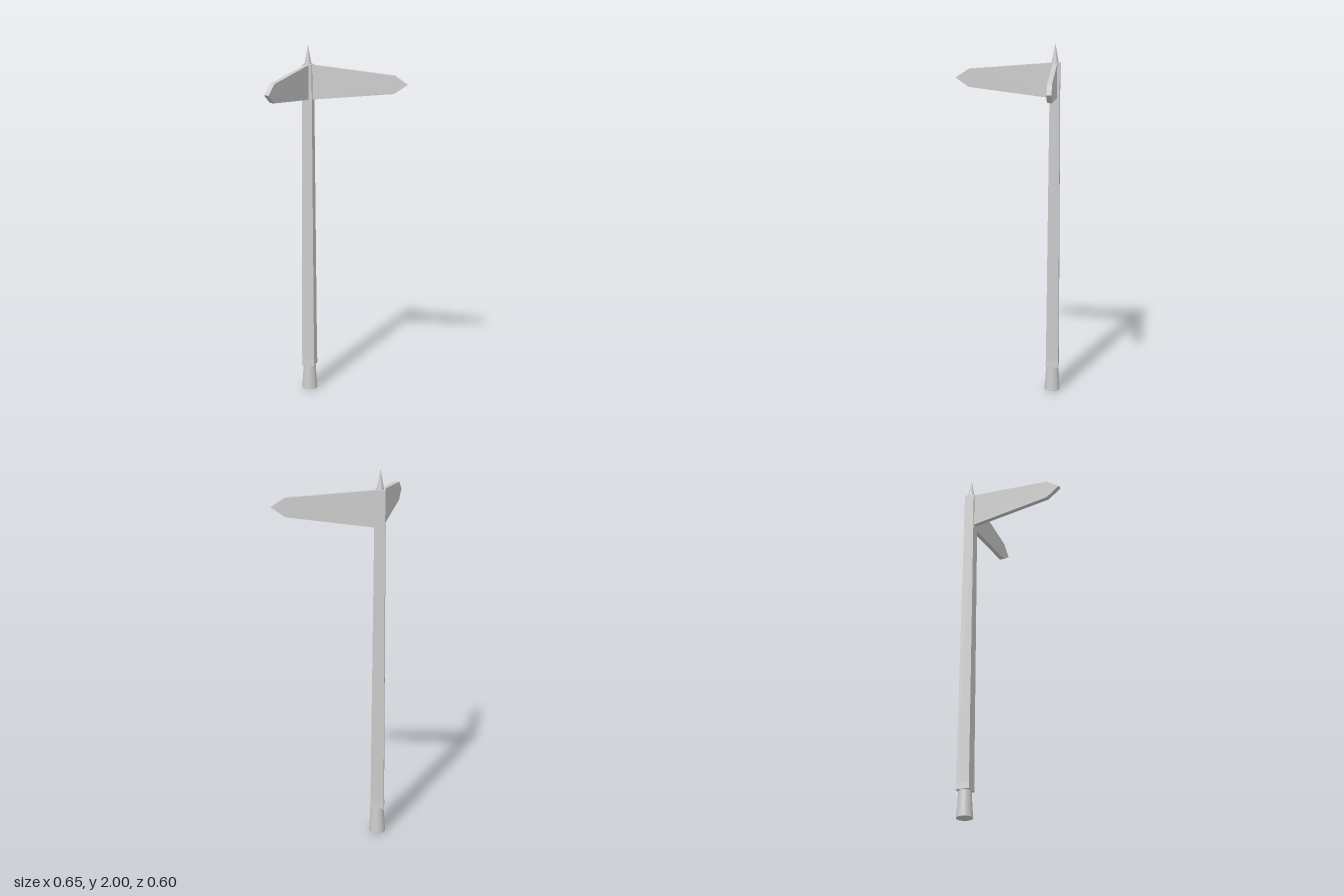
import * as THREE from 'three';

const mat = new THREE.MeshStandardMaterial({ color: 0xcccccc });
const flat = new THREE.MeshStandardMaterial({ color: 0xcccccc, flatShading: true });

function add(parent, name, geometry, material, y = 0) {
  const mesh = new THREE.Mesh(geometry, material);
  mesh.name = name;
  mesh.position.y = y;
  parent.add(mesh);
  return mesh;
}

// Square tapered block given half widths at the bottom and top
function taperedSquare(bottom, top, y0, y1) {
  const g = new THREE.CylinderGeometry(top * Math.SQRT2, bottom * Math.SQRT2, y1 - y0, 4);
  g.rotateY(Math.PI / 4);
  g.translate(0, (y0 + y1) / 2, 0);
  return g;
}

// Pointed sign board running along +x
function boardGeometry() {
  const thickness = 0.026;
  const shape = new THREE.Shape([
    [0.015, -0.097], [0.486, -0.05], [0.56, 0], [0.486, 0.05], [0.015, 0.097],
  ].map(([x, y]) => new THREE.Vector2(x, y)));
  const g = new THREE.ExtrudeGeometry(shape, { depth: thickness, bevelEnabled: false });
  g.translate(0, 0, -thickness / 2);
  return g;
}

export function createModel() {
  const model = new THREE.Group();
  model.name = 'signpost';
  const post = new THREE.Group();
  post.name = 'postAssembly';
  post.position.set(-0.235, 0, -0.258);
  model.add(post);

  // Round foot and square post with a slightly flared lower end
  add(post, 'foot', new THREE.CylinderGeometry(0.034, 0.044, 0.15, 24), mat, 0.075);
  add(post, 'postFlare', taperedSquare(0.038, 0.0355, 0.145, 0.18), flat);
  add(post, 'post', taperedSquare(0.0355, 0.027, 0.18, 1.893), flat);

  // Pointed finial
  add(post, 'finial', new THREE.ConeGeometry(0.02, 0.11, 24), mat, 1.945);

  // Two direction boards
  const board = boardGeometry();
  add(post, 'sideBoard', board, flat, 1.795);
  add(post, 'frontBoard', board, flat, 1.795).rotation.y = Math.atan2(-0.556, -0.0775);

  return model;
}
